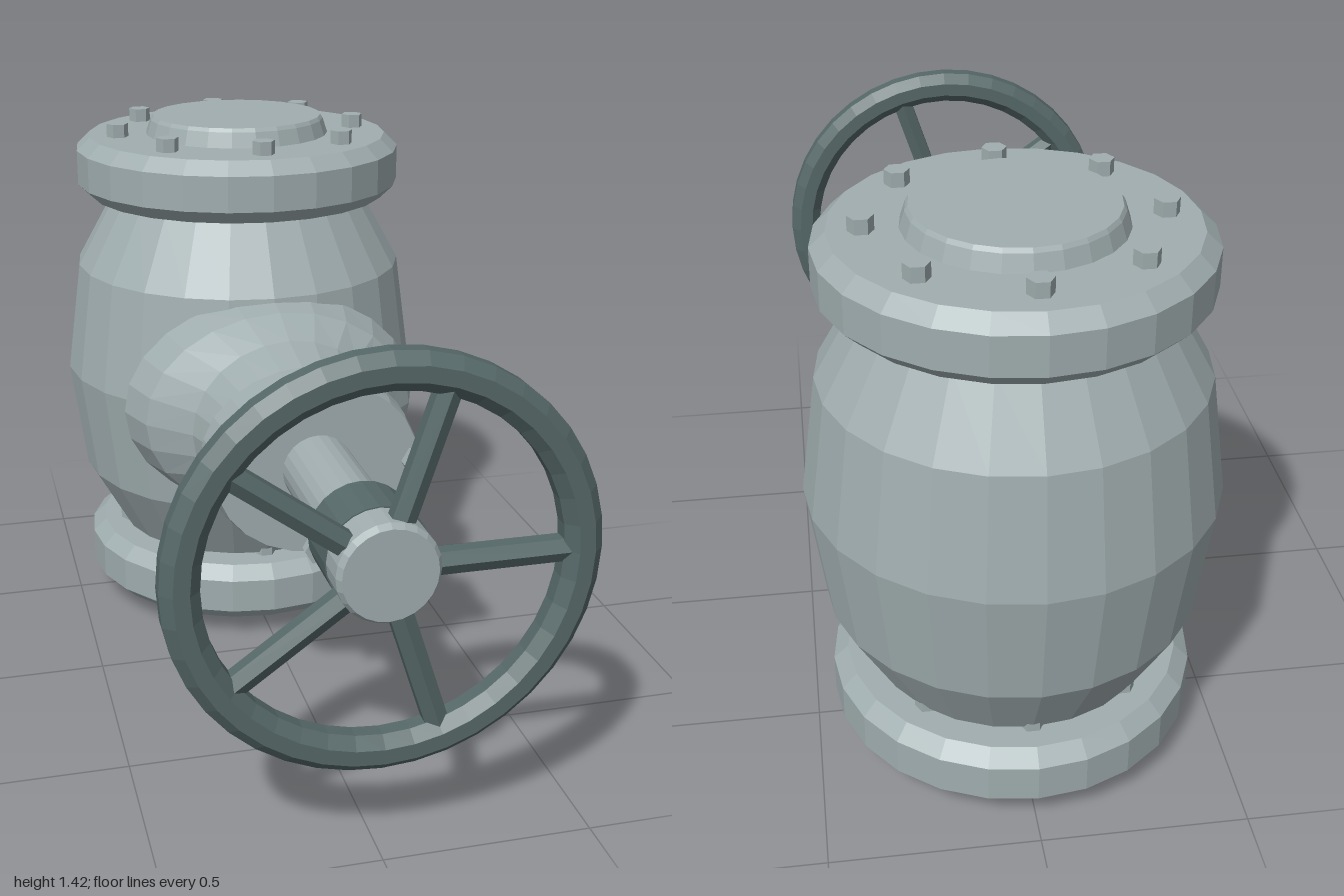
import * as THREE from 'three';

const AXIS_Y = 0.71;   // height of the stem axis
const BODY_Z = -0.5;   // depth of the body axis

export function createModel() {
  const model = new THREE.Group();
  const castMetal = new THREE.MeshStandardMaterial({ color: 0xa0adaf });
  const wheelPaint = new THREE.MeshStandardMaterial({ color: 0x566868 });

  // Faceted mesh: every face gets its own normal
  function add(name, geometry, material, parent = model) {
    const flat = geometry.index ? geometry.toNonIndexed() : geometry;
    flat.computeVertexNormals();
    const mesh = new THREE.Mesh(flat, material);
    mesh.name = name;
    parent.add(mesh);
    return mesh;
  }
  const lathe = (profile, sides = 24) =>
    new THREE.LatheGeometry(profile.map(([r, y]) => new THREE.Vector2(r, y)), sides);

  // Lathe along +z whose rings are ellipses: [z, half width, half height]
  function ovalAlongZ(rings, sides = 24) {
    const geo = lathe(rings.map(([z, rx]) => [rx, z]), sides);
    const pos = geo.attributes.position;
    for (let i = 0; i < pos.count; i++) {
      const [, rx, ry] = rings[i % rings.length];
      if (rx > 0) pos.setZ(i, pos.getZ(i) * ry / rx);
    }
    return geo.rotateX(Math.PI / 2);
  }

  // Upright body
  const body = new THREE.Group();
  body.name = 'body';
  body.position.z = BODY_Z;
  model.add(body);
  add('bodyShell', lathe([
    [0.315, 0.2], [0.315, 0.225], [0.356, 0.225], [0.459, 0.41], [0.5, 0.71],
    [0.459, 1.01], [0.356, 1.195], [0.315, 1.195], [0.315, 1.22],
  ]), castMetal, body);

  // Pipe flanges with a ring of eight bolts each
  for (const [end, y0] of [['bottom', 0.052], ['top', 1.205]]) {
    add(end + 'Flange', lathe([
      [0, y0], [0.415, y0], [0.452, y0 + 0.036], [0.452, y0 + 0.13],
      [0.415, y0 + 0.165], [0, y0 + 0.165],
    ]), castMetal, body);
    for (let i = 0; i < 8; i++) {
      const a = i * Math.PI / 4;
      const bolt = new THREE.CylinderGeometry(0.03, 0.03, 0.036, 6).rotateY(Math.PI / 6);
      bolt.translate(0.337 * Math.cos(a), y0 + 0.183, 0.337 * Math.sin(a));
      add(end + 'FlangeBolt', bolt, castMetal, body);
    }
  }

  // Raised sealing faces at both pipe ends
  add('topRaisedFace', lathe([[0.255, 1.37], [0.242, 1.41], [0.235, 1.42], [0, 1.42]]), castMetal, body);
  add('bottomRaisedFace', lathe([[0, 0], [0.237, 0], [0.242, 0.01], [0.255, 0.052]]), castMetal, body);

  // Bonnet, stem and wheel share the front axis
  const front = new THREE.Group();
  front.name = 'frontAssembly';
  front.position.y = AXIS_Y;
  model.add(front);
  add('bonnet', ovalAlongZ([
    [-0.22, 0.32, 0.26], [-0.15, 0.365, 0.288], [-0.09, 0.4, 0.298], [0.02, 0.36, 0.28],
    [0.12, 0.255, 0.235], [0.295, 0.2, 0.2],
  ]), castMetal, front);
  add('bonnetFlange', ovalAlongZ([
    [0.295, 0, 0], [0.295, 0.27, 0.225], [0.38, 0.262, 0.225], [0.41, 0.255, 0.22], [0.41, 0, 0],
  ]), castMetal, front);
  for (const [x, y] of [[0.25, 0], [-0.25, 0], [0, 0.207], [0, -0.207]]) {
    const bolt = new THREE.CylinderGeometry(0.038, 0.038, 0.055, 6);
    bolt.rotateY(Math.PI / 6).rotateX(Math.PI / 2).translate(x, y, 0.41);
    add('bonnetBolt', bolt, castMetal, front);
  }

  const rod = (r0, r1, z0, z1) =>
    new THREE.CylinderGeometry(r1, r0, z1 - z0, 24).rotateX(Math.PI / 2).translate(0, 0, (z0 + z1) / 2);
  add('stem', rod(0.088, 0.088, 0.4, 0.78), castMetal, front);
  add('wheelHub', rod(0.12, 0.12, 0.77, 0.91), wheelPaint, front);
  add('stemCap', ovalAlongZ([
    [0.905, 0, 0], [0.905, 0.117, 0.117], [0.985, 0.117, 0.117], [1, 0.107, 0.107], [1, 0, 0],
  ]), castMetal, front);

  // Handwheel rim with an octagonal section
  const rim = [];
  for (let i = 0; i <= 8; i++) {
    const a = (i + 0.5) * Math.PI / 4;
    rim.push([0.443 + 0.047 * Math.cos(a), 0.953 + 0.047 * Math.sin(a)]);
  }
  add('wheelRim', lathe(rim, 40).rotateX(Math.PI / 2), wheelPaint, front);

  // Five spokes
  for (let i = 0; i < 5; i++) {
    const spoke = new THREE.CylinderGeometry(0.031, 0.031, 0.33, 6).rotateZ(-Math.PI / 2);
    spoke.translate(0.255, 0, 0.953).rotateZ(i * Math.PI * 2 / 5);
    add('wheelSpoke', spoke, wheelPaint, front);
  }
  return model;
}
